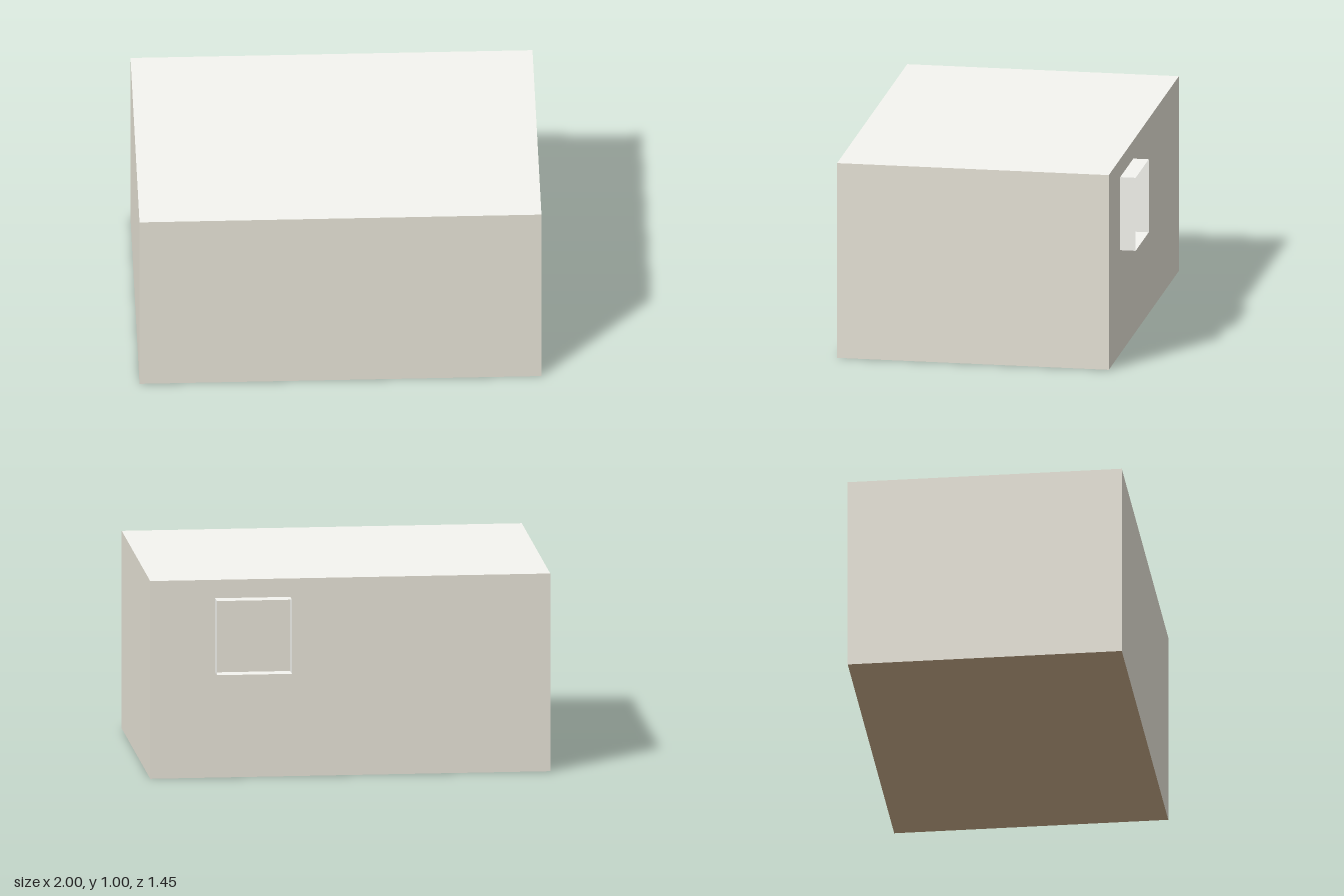
import * as THREE from 'three';

const W = 2, H = 1, FRONT = 0.725, BACK = -0.647, DEPTH = FRONT - BACK, MID = (FRONT + BACK) / 2;
const WIN = { x0: 0.3, x1: 0.675, y0: 0.532, y1: 0.907, depth: 0.078 };

const material = (color) => new THREE.MeshStandardMaterial({ color, side: THREE.DoubleSide });

export function createModel() {
  const room = new THREE.Group();
  room.name = 'room';
  const wallMat = material(0xe8e4d8);
  const floorMat = material(0xcbad8b);
  const paleMat = material(0xf5f5f0);

  // Thin sheet, turned about x then y
  function sheet(name, geometry, mat, position, rx = 0, ry = 0, parent = room) {
    const mesh = new THREE.Mesh(geometry, mat);
    mesh.name = name;
    mesh.position.set(...position);
    mesh.rotation.set(rx, ry, 0);
    parent.add(mesh);
  }
  const plane = (w, h) => new THREE.PlaneGeometry(w, h);
  const q = Math.PI / 2;

  // Floor, ceiling and the three plain walls
  sheet('floor', plane(W, DEPTH), floorMat, [0, 0, MID], q);
  sheet('ceiling', plane(W, DEPTH), paleMat, [0, H, MID], -q);
  sheet('frontWall', plane(W, H), wallMat, [0, H / 2, FRONT]);
  sheet('leftWall', plane(DEPTH, H), wallMat, [W / 2, H / 2, MID], 0, q);
  sheet('rightWall', plane(DEPTH, H), wallMat, [-W / 2, H / 2, MID], 0, -q);

  // Back wall with the window opening; mirrored in x because it is turned to face -z
  const shape = new THREE.Shape([[-1, 0], [1, 0], [1, H], [-1, H]].map((p) => new THREE.Vector2(...p)));
  shape.holes.push(new THREE.Path(
    [[-WIN.x0, WIN.y0], [-WIN.x1, WIN.y0], [-WIN.x1, WIN.y1], [-WIN.x0, WIN.y1]].map((p) => new THREE.Vector2(...p))));
  sheet('backWall', new THREE.ShapeGeometry(shape), wallMat, [0, 0, BACK], 0, Math.PI);

  // Window reveal: four thin sides projecting from the back wall, open at both ends
  const reveal = new THREE.Group();
  reveal.name = 'windowReveal';
  room.add(reveal);
  const w = WIN.x1 - WIN.x0, h = WIN.y1 - WIN.y0;
  const cx = (WIN.x0 + WIN.x1) / 2, cy = (WIN.y0 + WIN.y1) / 2, cz = BACK - WIN.depth / 2;
  sheet('windowSill', plane(w, WIN.depth), paleMat, [cx, WIN.y0, cz], q, 0, reveal);
  sheet('windowHead', plane(w, WIN.depth), paleMat, [cx, WIN.y1, cz], -q, 0, reveal);
  sheet('windowLeftJamb', plane(WIN.depth, h), paleMat, [WIN.x1, cy, cz], 0, q, reveal);
  sheet('windowRightJamb', plane(WIN.depth, h), paleMat, [WIN.x0, cy, cz], 0, -q, reveal);

  return room;
}
